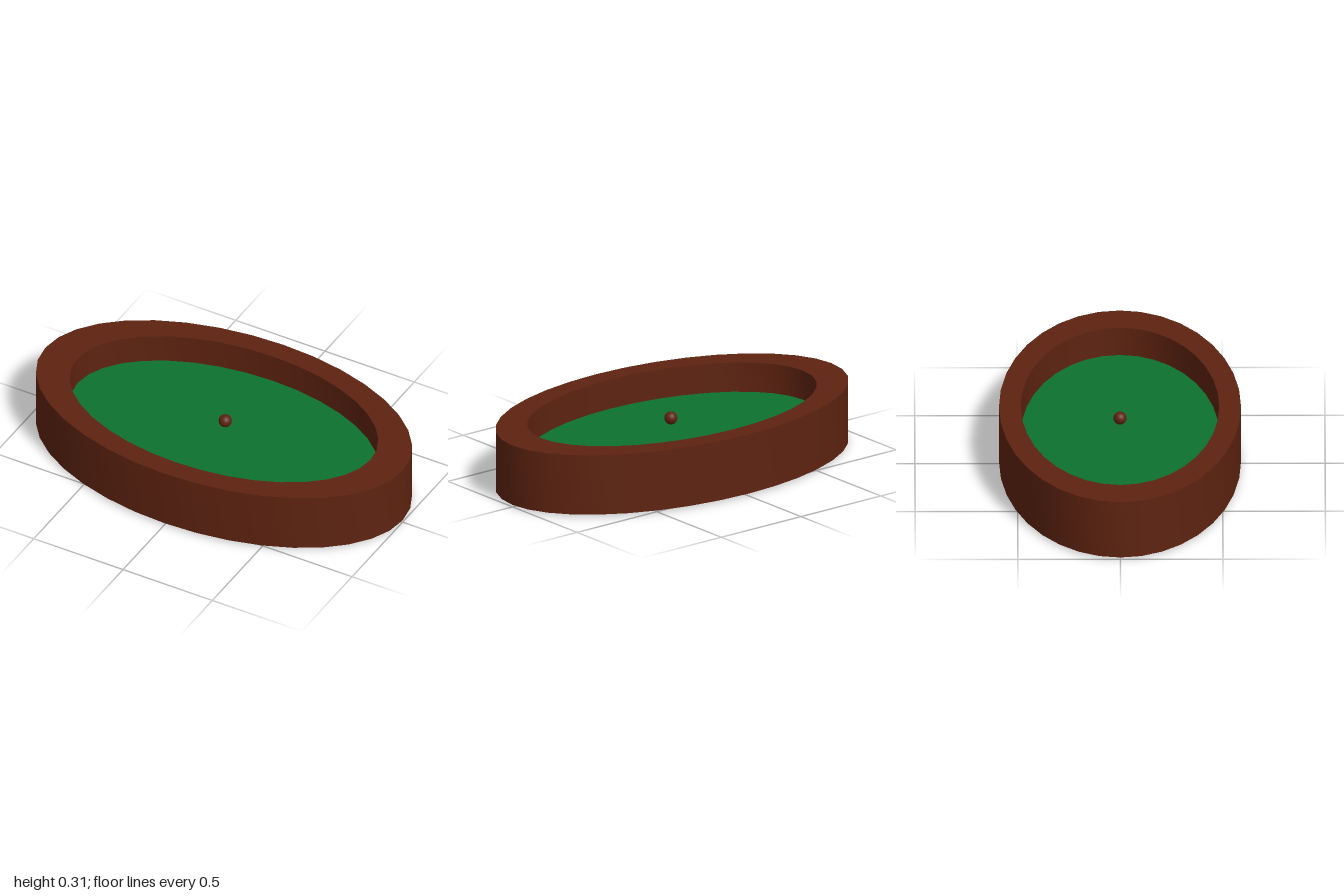
import * as THREE from 'three';
import { toCreasedNormals } from 'three/addons/utils/BufferGeometryUtils.js';

const SIDES = 36;
const DEPTH = 0.59; // z radius relative to x radius

export function createModel() {
  const wood = new THREE.MeshStandardMaterial({ name: 'dark brown wood', color: 0x5e2310 });
  const felt = new THREE.MeshStandardMaterial({ name: 'green felt', color: 0x0e7230 });

  const group = new THREE.Group();
  group.name = 'ovalTable';

  const add = (name, geometry, material) => {
    const mesh = new THREE.Mesh(geometry, material);
    mesh.name = name;
    group.add(mesh);
    return mesh;
  };

  // Squash a round geometry into an oval, keeping its edges sharp
  const oval = (geometry) => toCreasedNormals(geometry.scale(1, 1, DEPTH), 0.6);

  // Raised oval wall with a rectangular section
  const section = [[0.82, 0.01], [1, 0.01], [1, 0.315], [0.82, 0.315], [0.82, 0.01]]
    .map(([r, y]) => new THREE.Vector2(r, y));
  add('rim', oval(new THREE.LatheGeometry(section, SIDES)), wood);

  // Base, tucked into the wall and reaching just below it
  add('base', oval(new THREE.CylinderGeometry(0.833, 0.833, 0.16, SIDES)), wood).position.y = 0.08;

  // Felt playing surface on the base
  add('feltSurface', oval(new THREE.CylinderGeometry(0.825, 0.825, 0.006, SIDES)), felt).position.y = 0.162;

  // Small ball above the middle
  add('ball', new THREE.SphereGeometry(0.032, 24, 16), wood).position.set(0.007, 0.247, 0);

  return group;
}
